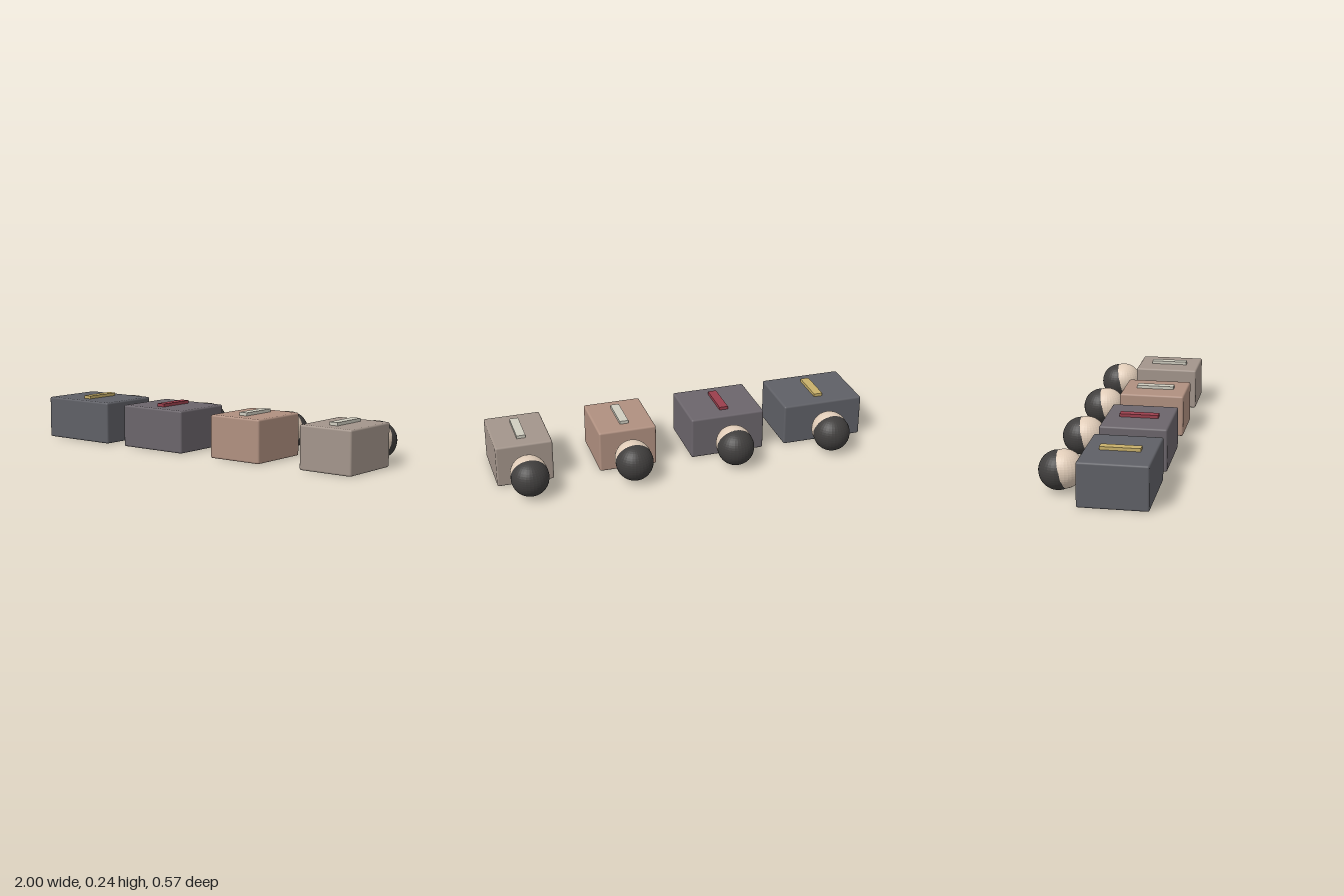
import * as THREE from 'three';
import { RoundedBoxGeometry } from 'three/addons/geometries/RoundedBoxGeometry.js';

// A row of four simple reclining figures: block torso, chest strip, head and hair
const FIGURES = [
  { x: -0.78, width: 0.44, torso: 0x5f6066, strip: 0xc8b06a },
  { x: -0.24, width: 0.4, torso: 0x6b656b, strip: 0x9a3f4c },
  { x: 0.307, width: 0.305, torso: 0xb09080, strip: 0xd0cdc0 },
  { x: 0.85, width: 0.295, torso: 0xa3958b, strip: 0xd0cdc0 },
];
const SKIN = 0xe0ccb8;
const HAIR = 0x403e3d;

function addPart(parent, name, geometry, color, y, z, flatShading = false) {
  const mesh = new THREE.Mesh(geometry, new THREE.MeshStandardMaterial({ color, flatShading }));
  mesh.name = name;
  mesh.position.set(0, y, z);
  parent.add(mesh);
}

export function createModel() {
  const model = new THREE.Group();
  model.name = 'figureRow';

  FIGURES.forEach(({ x, width, torso, strip }, i) => {
    const figure = new THREE.Group();
    figure.name = `figure${i + 1}`;
    figure.position.x = x;

    // Torso block with softly rounded edges
    addPart(figure, 'torso', new RoundedBoxGeometry(width, 0.222, 0.345, 3, 0.01), torso, 0.111, 0.1125);
    // Narrow strip lying on the chest
    addPart(figure, 'chestStrip', new THREE.BoxGeometry(0.046, 0.026, 0.199), strip, 0.225, 0.1125);
    // Head, with the hair as a second sphere set behind and slightly below
    addPart(figure, 'head', new THREE.SphereGeometry(0.095, 32, 24), SKIN, 0.11, -0.16, true);
    addPart(figure, 'hair', new THREE.SphereGeometry(0.097, 32, 24), HAIR, 0.103, -0.188, true);

    model.add(figure);
  });
  return model;
}
